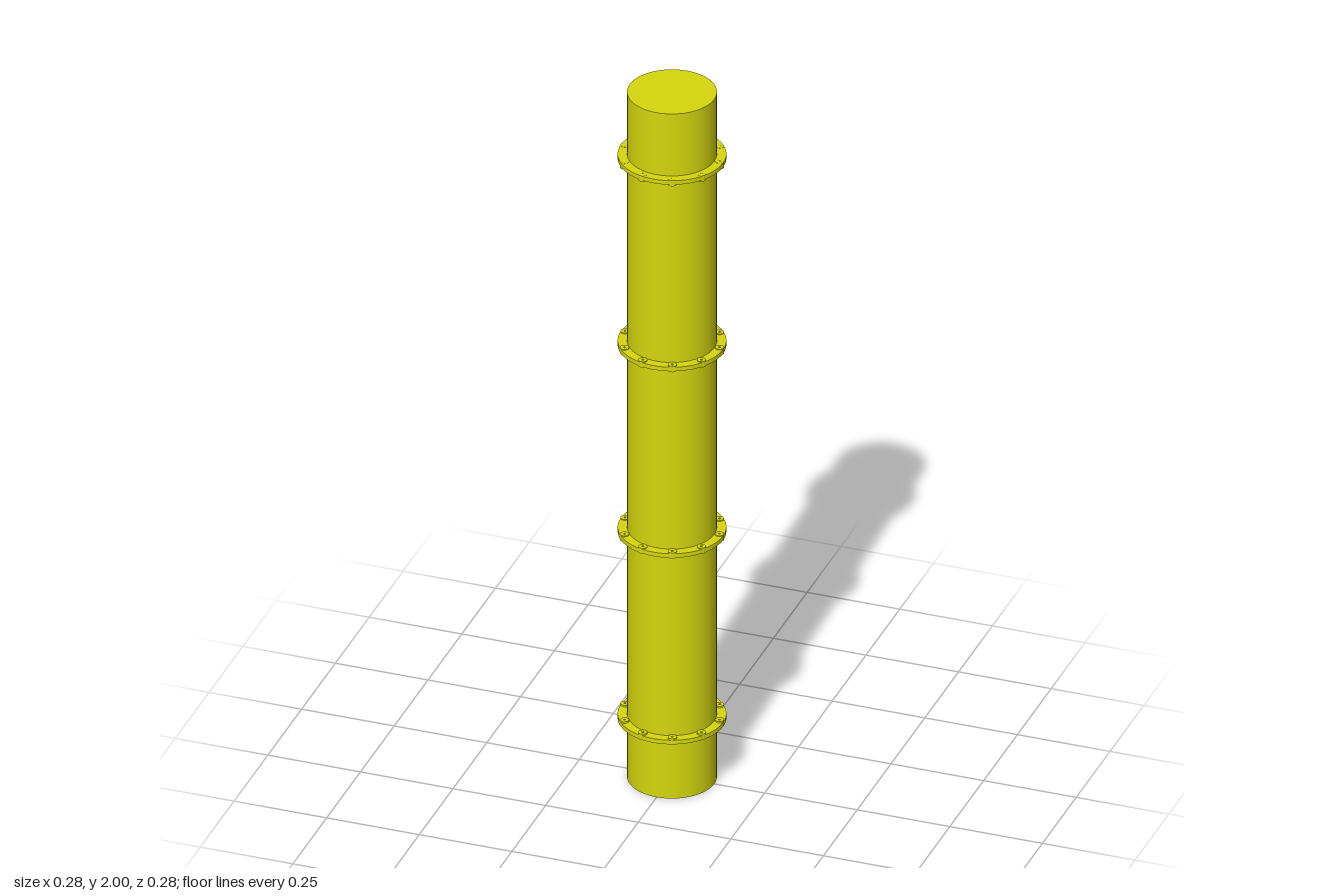
import * as THREE from 'three';

export function createModel() {
  const model = new THREE.Group();
  model.name = 'flangedPipe';
  const yellow = new THREE.MeshStandardMaterial({ color: 0xd6d60e });
  yellow.name = 'yellow paint';

  const add = (parent, geometry, name, x, y, z) => {
    const mesh = new THREE.Mesh(geometry, yellow);
    mesh.name = name;
    mesh.position.set(x, y, z);
    parent.add(mesh);
  };

  // Closed main pipe
  const pipeRadius = 0.114;
  add(model, new THREE.CylinderGeometry(pipeRadius, pipeRadius, 2, 64), 'pipe', 0, 1, 0);

  // Thin collar and a bolt with a small socket in each end
  const flangeGeometry = new THREE.CylinderGeometry(0.138, 0.138, 0.012, 64);
  const h = 0.0085;
  const boltGeometry = new THREE.LatheGeometry([
    [0, -h + 0.002], [0.003, -h + 0.002], [0.003, -h], [0.0115, -h], [0.0115, h],
    [0.003, h], [0.003, h - 0.002], [0, h - 0.002],
  ].map(([x, y]) => new THREE.Vector2(x, y)), 16).toNonIndexed();
  boltGeometry.computeVertexNormals();

  // Four bolted flanges; the end ones have their bolts shifted towards the middle
  const boltAngles = [34, 69.6, 105.6, 141.5, 180.2, 215.8, 251.3, 286.8, 322.1, 358];
  const flanges = [[0.178, 0.002], [0.723, 0], [1.268, 0], [1.813, -0.002]];
  flanges.forEach(([y, shift], i) => {
    const flange = new THREE.Group();
    flange.name = `flange${i + 1}`;
    flange.position.y = y;
    add(flange, flangeGeometry, 'collar', 0, 0, 0);
    for (const degrees of boltAngles) {
      const a = THREE.MathUtils.degToRad(degrees);
      add(flange, boltGeometry, 'bolt', 0.127 * Math.cos(a), shift, 0.127 * Math.sin(a));
    }
    model.add(flange);
  });

  return model;
}
